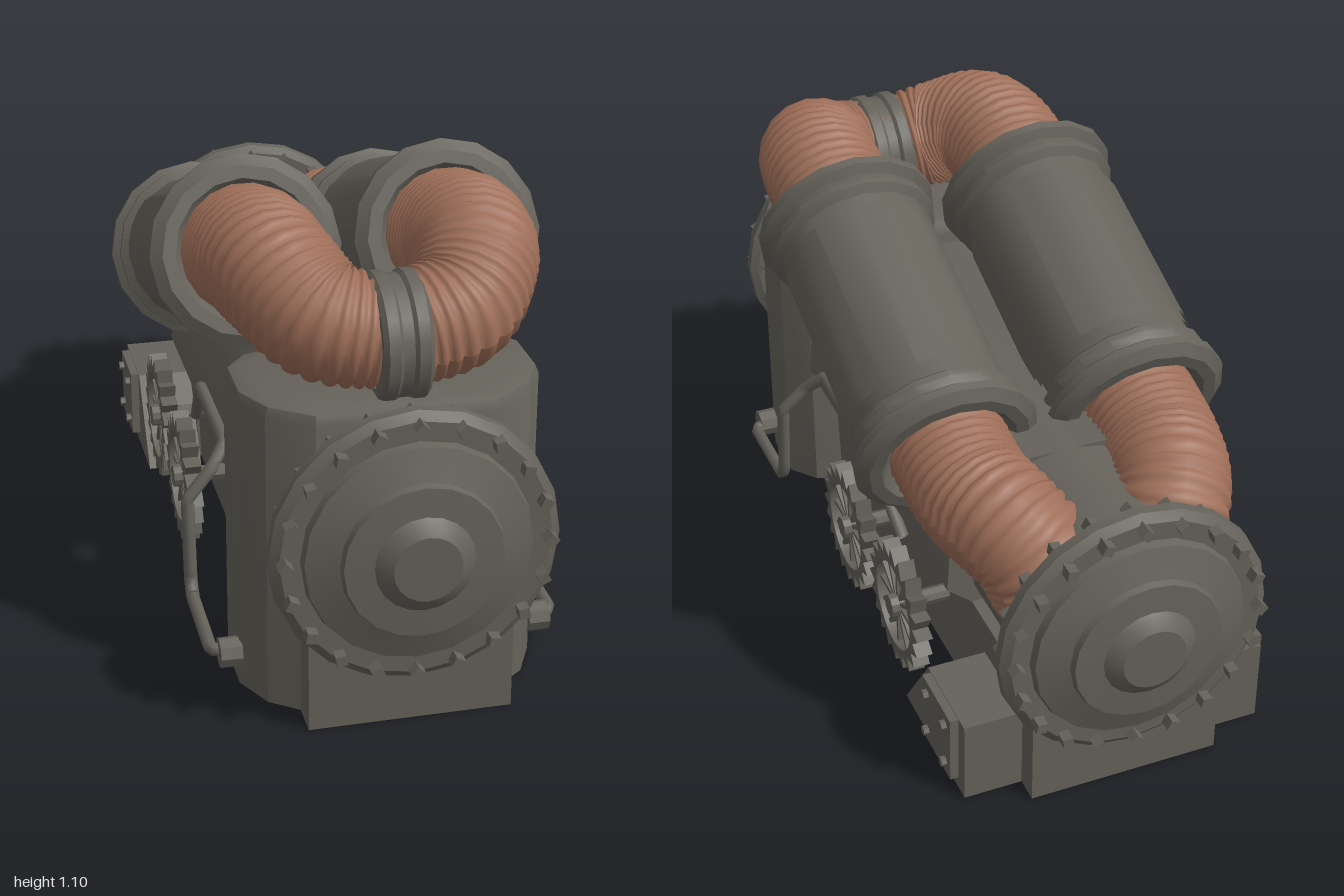
import * as THREE from 'three';
import { toCreasedNormals } from 'three/addons/utils/BufferGeometryUtils.js';

const metal = new THREE.MeshStandardMaterial({ color: 0x65625a, side: THREE.DoubleSide });
metal.name = 'dark metal';
const copper = new THREE.MeshStandardMaterial({ color: 0x9f6f59 });
copper.name = 'copper hose';

const V = (x, y, z) => new THREE.Vector3(x, y, z);
const shapeOf = pts => new THREE.Shape(pts.map(p => new THREE.Vector2(...p)));
const box = (w, h, d) => new THREE.BoxGeometry(w, h, d);
const cyl = (r, h, n) => new THREE.CylinderGeometry(r, r, h, n);
const lathe = (pts, n) => new THREE.LatheGeometry(pts.map(p => new THREE.Vector2(...p)), n);
const prism = (shape, depth) => new THREE.ExtrudeGeometry(shape, { depth, bevelEnabled: false });

// Removes the faces lying on the ground, leaving a hollow shell
function openBottom(geo) {
  const p = geo.toNonIndexed().attributes.position, kept = [];
  for (let i = 0; i < p.count; i += 3)
    if (Math.max(p.getY(i), p.getY(i + 1), p.getY(i + 2)) > 0.001)
      for (let j = i; j < i + 3; j++) kept.push(p.getX(j), p.getY(j), p.getZ(j));
  return new THREE.BufferGeometry().setAttribute('position', new THREE.Float32BufferAttribute(kept, 3));
}

export function createModel() {
  const root = new THREE.Group();
  root.name = 'engine';

  const add = (name, geo, x = 0, y = 0, z = 0, parent = root, crease = 0.4) => {
    const m = new THREE.Mesh(toCreasedNormals(geo, crease), metal);
    m.name = name;
    m.position.set(x, y, z);
    parent.add(m);
    return m;
  };
  const group = name => {
    const g = new THREE.Group();
    g.name = name;
    root.add(g);
    return g;
  };

  // Long body: rounded hull on a narrower chassis, boiler barrel, hollow end boxes
  const half = [[0.22, 0], [0.23, 0.3], [0.29, 0.35], [0.285, 0.44], [0.25, 0.54], [0.19, 0.62], [0.12, 0.67]];
  const section = [...half, ...half.map(([x, y]) => [-x, y]).reverse()];
  add('hull', prism(shapeOf(section), 1.02), 0, 0, -0.52);
  add('barrel', cyl(0.24, 1.72, 16).rotateX(Math.PI / 2), 0, 0.435, 0);
  add('rearChassis', openBottom(box(0.46, 0.3, 0.38).translate(0, 0.15, -0.69)));
  add('frontChassis', openBottom(box(0.46, 0.4, 0.1).translate(0, 0.2, 0.83)));

  // Upright front housing with rounded corners and bevelled top
  const corner = [[0.19, -0.79], [0.27, -0.73], [0.31, -0.65], [0.31, -0.53], [0.27, -0.48], [0.2, -0.46]];
  const plan = shapeOf([...corner, ...corner.map(([x, z]) => [-x, z]).reverse()]);
  const housing = new THREE.ExtrudeGeometry(plan, {
    depth: 0.70, bevelThickness: 0.03, bevelSize: 0.03, bevelSegments: 2,
  }).rotateX(-Math.PI / 2);
  const hp = housing.attributes.position;
  for (let i = 0; i < hp.count; i++) hp.setY(i, Math.max(0, hp.getY(i)));
  add('frontHousing', openBottom(housing));

  // Round end caps with a circle of bolts
  for (const s of [1, -1]) {
    const cap = group(s > 0 ? 'frontCap' : 'rearCap');
    cap.position.y = 0.435;
    cap.rotation.x = s * Math.PI / 2;
    add('capDisc', lathe([[0, 0.82], [0.25, 0.82], [0.25, 0.86], [0.3, 0.86], [0.32, 0.87], [0.32, 0.895],
      [0.3, 0.91], [0.255, 0.91], [0.25, 0.93], [0.235, 0.935], [0.18, 0.955], [0.175, 0.97],
      [0.11, 0.975], [0.1, 0.985], [0.075, 1], [0, 1]], 20), 0, 0, 0, cap);
    for (let i = 0; i < 20; i++) {
      const a = i * Math.PI / 10;
      add('capBolt', cyl(0.017, 0.11, 4).rotateY(-a), Math.cos(a) * 0.29, 0.885, Math.sin(a) * 0.29, cap);
    }
  }

  // Ribbed hose: a tapering tube whose rings swell and pinch in turn
  function hose(name, pts, r0, r1, ribs) {
    const curve = new THREE.CatmullRomCurve3(pts);
    const n = ribs * 4, sides = 18;
    const g = new THREE.TubeGeometry(curve, n, 1, sides);
    const p = g.attributes.position, v = V(0, 0, 0);
    for (let i = 0; i <= n; i++) {
      const t = i / n, c = curve.getPointAt(t);
      const k = [0.92, 0.985, 1, 0.985][i % 4] * (r0 + (r1 - r0) * t * t);
      for (let j = 0; j <= sides; j++) {
        const id = i * (sides + 1) + j;
        v.fromBufferAttribute(p, id).sub(c).multiplyScalar(k).add(c);
        p.setXYZ(id, v.x, v.y, v.z);
      }
    }
    g.computeVertexNormals();
    const m = new THREE.Mesh(g, copper);
    m.name = name;
    root.add(m);
  }

  // Toothed wheel with spokes and hub, axis along x
  function wheel(x, y, z) {
    const w = group('toothedWheel');
    w.position.set(x, y, z);
    const pts = [];
    for (let i = 0; i < 40; i++) {
      const a = i * Math.PI / 20 + (i % 2 ? 0 : 0.06), r = i % 2 ? 0.13 : 0.162;
      pts.push([Math.cos(a) * r, Math.sin(a) * r]);
    }
    const rim = shapeOf(pts);
    rim.holes.push(new THREE.Path().absarc(0, 0, 0.112, 0, Math.PI * 2, true));
    add('wheelRim', prism(rim, 0.04).translate(0, 0, -0.02).rotateY(Math.PI / 2), 0, 0, 0, w);
    for (let i = 0; i < 6; i++)
      add('wheelSpoke', box(0.02, 0.23, 0.01).rotateX(i * Math.PI / 6), 0, 0, 0, w);
    add('wheelHub', cyl(0.028, 0.06, 10).rotateZ(Math.PI / 2), 0, 0, 0, w);
    add('wheelAxle', cyl(0.02, 0.14, 8).rotateZ(Math.PI / 2), -Math.sign(x) * 0.07, 0, 0, w);
  }

  for (const s of [1, -1]) {
    // Sloping canister with flanged, hollow ends
    const can = group('canister');
    can.position.set(s * 0.237, 0.772, -0.058);
    can.rotation.x = THREE.MathUtils.degToRad(70);
    const end = [[0.13, 0.33], [0.165, 0.375], [0.195, 0.375], [0.222, 0.355], [0.222, 0.335], [0.2, 0.32],
      [0.207, 0.3], [0.207, 0.285], [0.187, 0.27]];
    add('canisterShell', lathe([...end.map(([r, h]) => [r, -h]), ...end.reverse()], 16), 0, 0, 0, can);
    for (const a of [1.92, -1.22, 3.35])
      for (const [w, h, r] of [[0.95, 0.47, 0.191], [0.8, 0.42, 0.196]])
        add('canisterPanel', new THREE.CylinderGeometry(r, r, h, 4, 1, true, s * a - w / 2, w), 0, 0, 0, can);

    // Front and rear hoses
    hose('frontHose', [V(s * 0.237, 0.89, 0.25), V(s * 0.237, 0.935, 0.42), V(s * 0.22, 0.93, 0.54),
      V(s * 0.145, 0.87, 0.655), V(0, 0.84, 0.69)], 0.152, 0.122, 24);
    hose('rearHose', [V(s * 0.237, 0.66, -0.38), V(s * 0.23, 0.625, -0.54), V(s * 0.2, 0.61, -0.65),
      V(s * 0.165, 0.57, -0.71), V(s * 0.13, 0.48, -0.73)], 0.142, 0.135, 18);

    // Side pipe with end bracket
    const path = new THREE.CurvePath();
    const pp = [[0.3, 0.08, 0.66], [0.4, 0.08, 0.63], [0.4, 0.085, 0.4], [0.4, 0.12, 0.375], [0.4, 0.32, 0.355],
      [0.34, 0.385, 0.34], [0.3, 0.43, 0.3], [0.3, 0.43, -0.02], [0.28, 0.27, -0.2]].map(p => V(s * p[0], p[1], p[2]));
    for (let i = 1; i < pp.length; i++) path.add(new THREE.LineCurve3(pp[i - 1], pp[i]));
    add('sidePipe', new THREE.TubeGeometry(path, 90, 0.016, 8), 0, 0, 0, root, 0.9);
    add('pipeBracket', cyl(0.035, 0.05, 8).rotateZ(Math.PI / 2), s * 0.36, 0.08, 0.65);

    // Wheels
    wheel(s * 0.345, 0.195, -0.015);
    wheel(s * 0.345, 0.205, -0.355);

    // Hollow rear foot with bolted plate
    const foot = prism(shapeOf([[0.45, 0], [0.82, 0], [0.82, 0.21], [0.6, 0.21]]), 0.14).rotateY(Math.PI / 2);
    add('rearFoot', openBottom(foot), s > 0 ? 0.23 : -0.37);
    add('footPlate', box(0.025, 0.175, 0.17), s * 0.378, 0.12, -0.7);
    for (const dy of [-0.055, 0.055])
      for (const dz of [-0.055, 0.055])
        add('footBolt', cyl(0.012, 0.02, 6).rotateZ(Math.PI / 2), s * 0.393, 0.12 + dy, -0.7 + dz);
  }

  // Collar joining the two front hoses
  add('hoseCollar', lathe([[0.11, -0.055], [0.135, -0.055], [0.145, -0.045], [0.145, -0.02], [0.137, -0.012],
    [0.137, 0.012], [0.145, 0.02], [0.145, 0.045], [0.135, 0.055], [0.11, 0.055]], 20).rotateZ(Math.PI / 2),
  0, 0.835, 0.69);

  return root;
}
